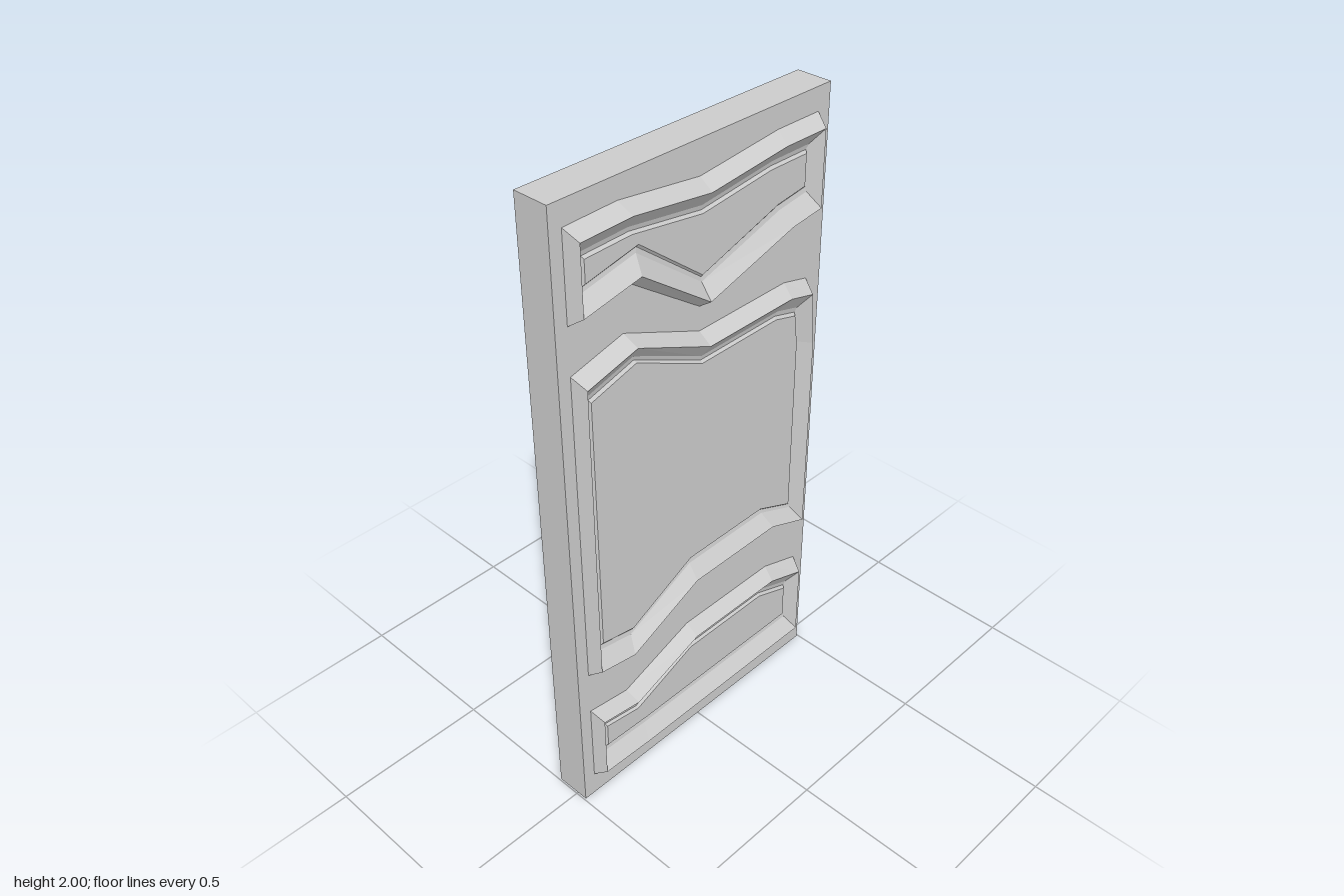
import * as THREE from 'three';

const SLAB_FRONT = 0.035, PEAK = 0.0775;
// moulding profile: [inset, z] from the outer foot over the ridge to the raised field
const PROFILE = [[0, SLAB_FRONT], [0.03, PEAK], [0.076, 0.042], [0.09, 0.039], [0.098, 0.046]];

// outlines run clockwise: top edge, optional side points, bottom edge
const PANELS = {
  topPanel: {
    top: [[-0.455, 1.93], [-0.28, 1.935], [0, 1.9], [0.29, 1.93], [0.45, 1.93]],
    side: [],
    bottom: [[0.45, 1.64], [0.33, 1.625], [0, 1.53], [-0.255, 1.705], [-0.455, 1.668]],
  },
  middlePanel: {
    top: [[-0.455, 1.525], [-0.275, 1.57], [0, 1.455], [0.34, 1.46], [0.435, 1.437]],
    side: [[0.45, 1.24]],
    bottom: [[0.45, 0.55], [0.3, 0.605], [-0.05, 0.6], [-0.32, 0.48], [-0.455, 0.502]],
  },
  bottomPanel: {
    top: [[-0.455, 0.355], [-0.31, 0.335], [-0.05, 0.432], [0.31, 0.435], [0.45, 0.39]],
    side: [],
    bottom: [[0.45, 0.08], [-0.27, 0.075], [-0.455, 0.08]],
  },
};

// outline pulled inward by d: narrower at the sides than above and below
function ring({ top, side, bottom }, d, z) {
  const move = (dy) => ([x, y]) => new THREE.Vector3(x * (1 - 1.2 * d), y + dy, z);
  return [...top.map(move(-d)), ...side.map(move(0)), ...bottom.map(move(d))];
}

function createPanel(name, outline, material) {
  const group = new THREE.Group();
  group.name = name;
  const rings = PROFILE.map(([d, z]) => ring(outline, d, z));

  // moulding: strips between neighbouring rings
  const points = [];
  for (let r = 0; r < rings.length - 1; r++) {
    const a = rings[r], b = rings[r + 1];
    a.forEach((p, i) => {
      const j = (i + 1) % a.length;
      points.push(p, b[i], b[j], p, b[j], a[j]);
    });
  }
  const geometry = new THREE.BufferGeometry().setFromPoints(points);
  geometry.computeVertexNormals();
  const moulding = new THREE.Mesh(geometry, material);
  moulding.name = name + 'Moulding';

  // flat field inside the moulding
  const inner = rings[rings.length - 1];
  const shape = new THREE.Shape(inner.map((p) => new THREE.Vector2(p.x, p.y)));
  const field = new THREE.Mesh(new THREE.ShapeGeometry(shape), material);
  field.name = name + 'Field';
  field.position.z = inner[0].z;

  group.add(moulding, field);
  return group;
}

export function createModel() {
  const model = new THREE.Group();
  model.name = 'panelledDoor';
  const material = new THREE.MeshStandardMaterial({ color: 0xcccccc, flatShading: true });

  // door slab
  const depth = SLAB_FRONT + PEAK;
  const slab = new THREE.Mesh(new THREE.BoxGeometry(0.99, 2, depth), material);
  slab.name = 'slab';
  slab.position.set(0, 1, SLAB_FRONT - depth / 2);
  model.add(slab);

  // three irregular panels
  for (const [name, outline] of Object.entries(PANELS)) {
    model.add(createPanel(name, outline, material));
  }
  return model;
}
